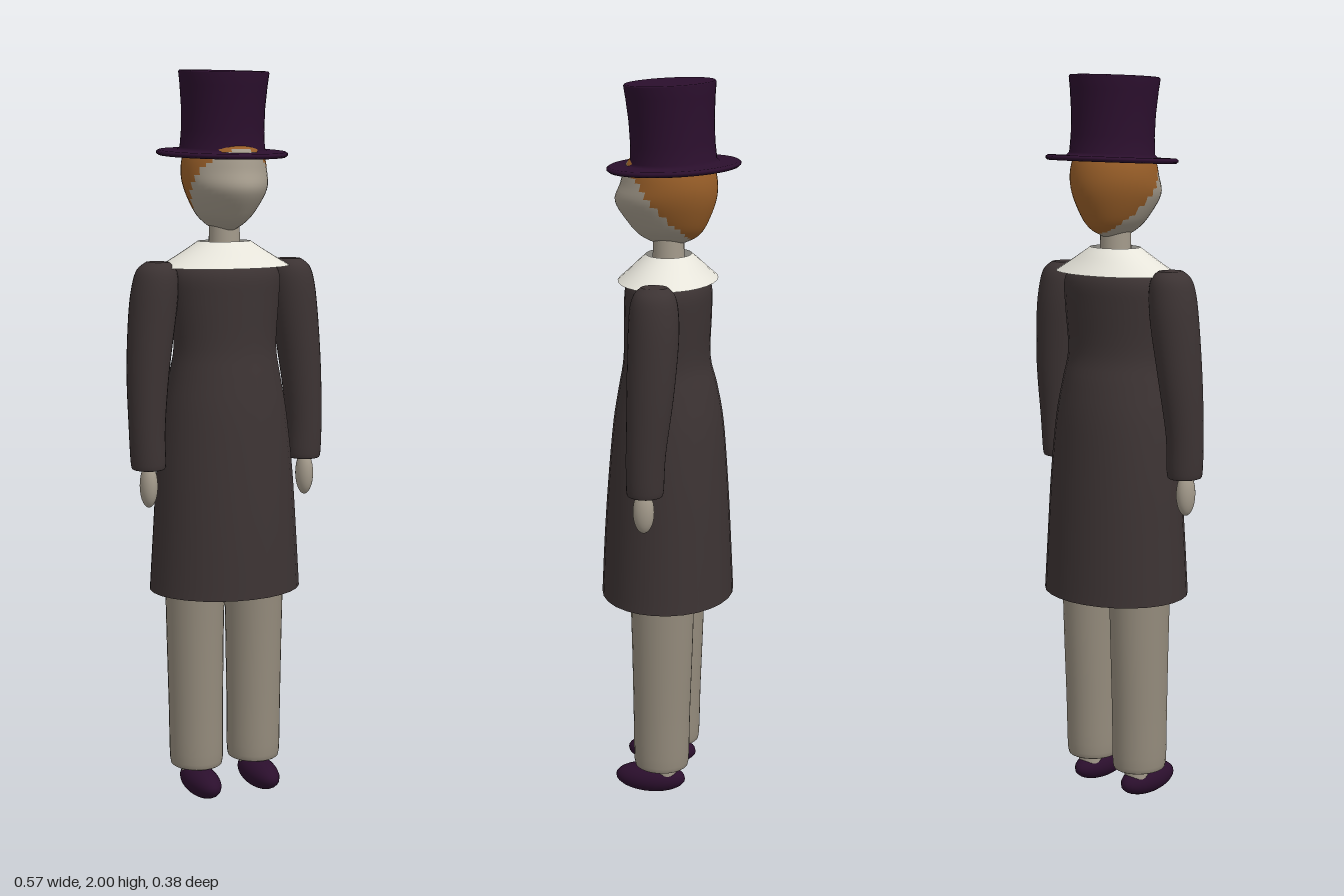
import * as THREE from 'three';

const mat = (name, color, side = THREE.FrontSide) => {
  const m = new THREE.MeshStandardMaterial({ color, side });
  m.name = name;
  return m;
};

// Smooth skin through elliptical rings [y, centreX, radiusX, centreZ, radiusZ], listed from bottom to top.
// shape(point) may adjust a vertex; pick(x, y, z) chooses the material index of a face.
function loft(rings, { seg = 28, rows = 24, bottom = true, top = true, shape, pick } = {}) {
  const lower = new THREE.CatmullRomCurve3(rings.map(r => new THREE.Vector3(r[1], r[0], r[3])));
  const at = t => {
    const f = Math.min(t * (rings.length - 1), rings.length - 1.0001);
    const i = Math.floor(f), u = f - i;
    const n = k => rings[Math.max(0, Math.min(rings.length - 1, k))];
    return rings[0].map((_, c) => {
      const [a, b, d, e] = [n(i - 1)[c], n(i)[c], n(i + 1)[c], n(i + 2)[c]];
      return b + 0.5 * u * (d - a + u * (2 * a - 5 * b + 4 * d - e + u * (3 * (b - d) + e - a)));
    });
  };
  const pos = [], faces = [[], []];
  for (let j = 0; j <= rows; j++) {
    const [y, cx, rx, cz, rz] = at(j / rows);
    for (let i = 0; i < seg; i++) {
      const a = i / seg * Math.PI * 2;
      const p = new THREE.Vector3(cx + rx * Math.cos(a), y, cz + rz * Math.sin(a));
      if (shape) shape(p, a);
      pos.push(p.x, p.y, p.z);
    }
  }
  for (let j = 0; j < rows; j++) for (let i = 0; i < seg; i++) {
    const p = j * seg + i, q = j * seg + (i + 1) % seg, up = p + seg, uq = q + seg;
    const mean = c => (pos[p * 3 + c] + pos[q * 3 + c] + pos[up * 3 + c] + pos[uq * 3 + c]) / 4;
    faces[pick ? pick(mean(0), mean(1), mean(2)) : 0].push(p, up, q, q, up, uq);
  }
  // End caps with their own vertices, so the rims stay crisp
  const cap = (row, isTop) => {
    const base = pos.length / 3;
    const r = rings[isTop ? rings.length - 1 : 0];
    for (let i = 0; i < seg * 3; i++) pos.push(pos[row * seg * 3 + i]);
    pos.push(r[1], r[0], r[3]);
    for (let i = 0; i < seg; i++) {
      const p = base + i, q = base + (i + 1) % seg;
      faces[0].push(base + seg, isTop ? q : p, isTop ? p : q);
    }
  };
  if (bottom) cap(0, false);
  if (top) cap(rows, true);
  const g = new THREE.BufferGeometry();
  g.setAttribute('position', new THREE.Float32BufferAttribute(pos, 3));
  g.setIndex([...faces[0], ...faces[1]]);
  if (pick) {
    g.addGroup(0, faces[0].length, 0);
    g.addGroup(faces[0].length, faces[1].length, 1);
  }
  g.computeVertexNormals();
  return g;
}

export function createModel() {
  const model = new THREE.Group();
  const hatPlum = mat('dark plum', 0x2b0f2d);
  const coatBrown = mat('dark brown cloth', 0x3c3333, THREE.DoubleSide);
  const trouserTan = mat('grey tan cloth', 0x948b7c);
  const skin = mat('pale skin', 0xa39a8b);
  const hair = mat('auburn hair', 0x985e28);
  const cream = mat('cream linen', 0xe6e4da, THREE.DoubleSide);

  const add = (name, geometry, material, x = 0, y = 0, z = 0) => {
    const m = new THREE.Mesh(geometry, material);
    m.name = name;
    m.position.set(x, y, z);
    model.add(m);
    return m;
  };

  // Top hat: crown and brim in one turned profile, tipped slightly forward
  const profile = [
    [0.001, -0.008], [0.172, -0.008], [0.178, -0.003], [0.178, 0.002], [0.172, 0.006],
    [0.122, 0.007], [0.115, 0.014], [0.112, 0.06], [0.113, 0.12], [0.118, 0.18],
    [0.122, 0.213], [0.119, 0.217], [0.001, 0.217],
  ].map(p => new THREE.Vector2(...p));
  const hat = add('topHat', new THREE.LatheGeometry(profile, 40), hatPlum, 0, 1.777, -0.01);
  hat.rotation.x = 0.05;

  // Head: face drawn forward to a soft ridge, hair covering the back along a slant
  add('head', loft([
    [1.572, 0, 0.025, 0.003, 0.043],
    [1.59, 0, 0.05, 0.003, 0.078],
    [1.62, 0, 0.078, 0.006, 0.104],
    [1.68, 0, 0.108, 0.013, 0.135],
    [1.73, 0, 0.115, 0.003, 0.13],
    [1.78, 0, 0.106, 0.001, 0.117],
    [1.81, 0, 0.08, 0, 0.09],
  ], {
    seg: 40, rows: 30,
    shape: (p, a) => { p.x *= 1 - 0.14 * Math.max(0, Math.sin(a)) ** 2; },
    pick: (x, y, z) => (z < 0.085 + (y - 1.755) * 0.85 ? 1 : 0),
  }), [skin, hair]);

  add('neck', new THREE.CylinderGeometry(0.041, 0.044, 0.14, 24), skin, 0, 1.54, 0.004);

  // Collar: open flared cape around the neck
  add('collar', loft([
    [1.474, 0, 0.187, 0.005, 0.133],
    [1.5, 0, 0.142, 0.004, 0.105],
    [1.525, 0, 0.1, 0.003, 0.08],
    [1.542, 0, 0.074, 0.003, 0.061],
  ], { bottom: false, top: false, rows: 9 }), cream);

  // Long coat, open at the hem
  add('coat', loft([
    [0.585, 0, 0.213, 0.006, 0.183],
    [0.75, 0, 0.203, 0.006, 0.175],
    [0.92, 0, 0.192, 0.005, 0.164],
    [1.08, 0, 0.174, 0.004, 0.15],
    [1.18, 0, 0.156, 0.005, 0.133],
    [1.26, 0, 0.145, 0.008, 0.117],
    [1.38, 0, 0.155, 0.005, 0.117],
    [1.45, 0, 0.158, 0.004, 0.115],
    [1.485, 0, 0.132, 0.004, 0.095],
    [1.515, 0, 0.07, 0.004, 0.055],
  ], { bottom: false, rows: 36 }), coatBrown);

  for (const [side, s] of [['left', 1], ['right', -1]]) {
    // Sleeve, full at the shoulder and narrowing to the cuff
    add(side + 'Sleeve', loft([
      [0.935, 0.235, 0.041, 0.024, 0.044],
      [0.95, 0.235, 0.047, 0.024, 0.05],
      [1.05, 0.237, 0.049, 0.021, 0.053],
      [1.2, 0.229, 0.057, 0.011, 0.062],
      [1.35, 0.213, 0.064, 0.005, 0.067],
      [1.43, 0.204, 0.062, 0.005, 0.064],
      [1.47, 0.2, 0.052, 0.005, 0.054],
      [1.49, 0.197, 0.03, 0.005, 0.035],
    ].map(r => [r[0], s * r[1], ...r.slice(2)]), { rows: 28 }), coatBrown);

    const hand = add(side + 'Hand', new THREE.SphereGeometry(1, 20, 14), skin, s * 0.236, 0.89, 0.028);
    hand.scale.set(0.024, 0.06, 0.029);

    // Trouser leg with a rounded lower edge
    add(side + 'TrouserLeg', loft([
      [0.088, s * 0.088, 0.062, 0.008, 0.066],
      [0.1, s * 0.088, 0.073, 0.008, 0.077],
      [0.25, s * 0.089, 0.075, 0.007, 0.08],
      [0.45, s * 0.09, 0.078, 0.005, 0.085],
      [0.64, s * 0.09, 0.082, 0.005, 0.09],
    ], { rows: 16 }), trouserTan);

    add(side + 'Ankle', new THREE.CylinderGeometry(0.034, 0.034, 0.06, 20), skin, s * 0.09, 0.075, -0.005);

    const shoe = add(side + 'Shoe', new THREE.SphereGeometry(1, 24, 16), hatPlum, s * 0.09, 0.042, 0.04);
    shoe.scale.set(0.045, 0.042, 0.1);
  }
  return model;
}
